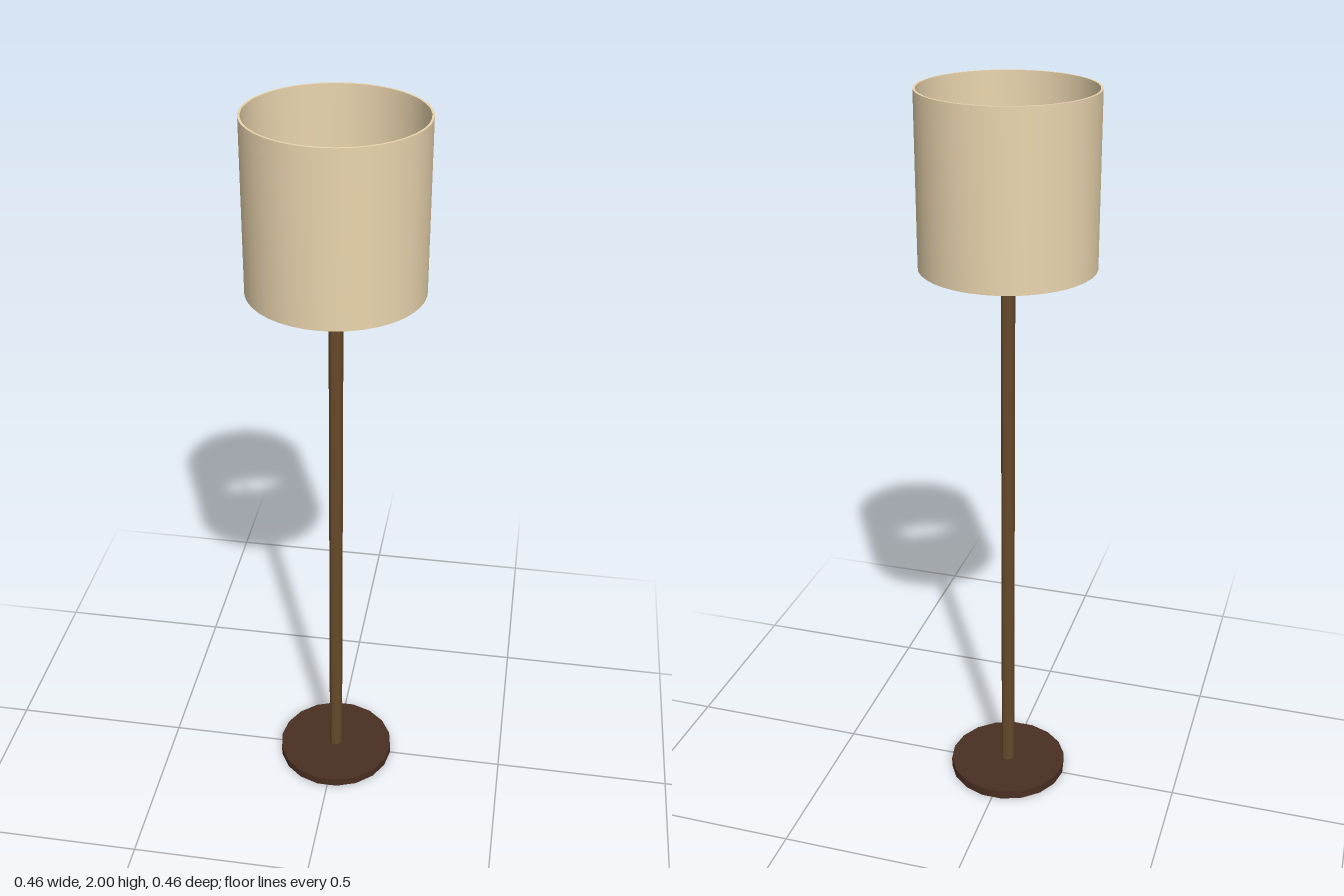
import * as THREE from 'three';
import { toCreasedNormals } from 'three/addons/utils/BufferGeometryUtils.js';

const part = (name, geometry, color, parent) => {
  const mesh = new THREE.Mesh(geometry, new THREE.MeshStandardMaterial({ color }));
  mesh.name = name;
  parent.add(mesh);
  return mesh;
};

// Turned part from [radius, height] pairs, listed bottom to top on the outside
const turned = (profile, sides, crease = 0.6) =>
  toCreasedNormals(
    new THREE.LatheGeometry(profile.map(([r, y]) => new THREE.Vector2(r, y)), sides, Math.PI / 2),
    crease
  );

// Flat bar along +x that narrows and rises slightly towards its tip
function armGeometry() {
  const inner = 0.015, outer = 0.22;
  const geometry = new THREE.BoxGeometry(1, 1, 1);
  const p = geometry.attributes.position;
  for (let i = 0; i < p.count; i++) {
    const t = p.getX(i) + 0.5;
    const width = THREE.MathUtils.lerp(0.029, 0.009, t);
    const thickness = THREE.MathUtils.lerp(0.012, 0.007, t);
    const middle = THREE.MathUtils.lerp(1.547, 1.556, t);
    p.setXYZ(i, THREE.MathUtils.lerp(inner, outer, t), middle + p.getY(i) * thickness, p.getZ(i) * width);
  }
  geometry.computeVertexNormals();
  return geometry;
}

export function createModel() {
  const lamp = new THREE.Group();
  lamp.name = 'floorLamp';

  // Round foot and pole
  part('base', turned([[0, 0], [0.168, 0], [0.168, 0.025], [0, 0.025]], 18), 0x4a2f22, lamp);
  part('pole', turned([[0, 0.02], [0.019, 0.02], [0.019, 1.51], [0, 1.51]], 12), 0x664a2a, lamp);

  // Socket at the top of the pole
  part('socket', turned([
    [0, 1.497], [0.026, 1.497], [0.043, 1.52], [0.043, 1.53], [0.022, 1.543], [0.022, 1.565], [0, 1.565]
  ], 10), 0x777a7c, lamp);

  // Three arms carrying the shade
  const arms = new THREE.Group();
  arms.name = 'shadeArms';
  lamp.add(arms);
  for (let i = 0; i < 3; i++) {
    part('shadeArm', armGeometry(), 0x777a7c, arms).rotation.y = (i * Math.PI * 2) / 3;
  }

  // Pear-shaped bulb: a neck flowing into a ball
  const bulb = [[0, 1.56], [0.018, 1.56], [0.02, 1.575], [0.027, 1.598]];
  for (let i = 0; i <= 10; i++) {
    const a = THREE.MathUtils.lerp(-0.6, Math.PI / 2, i / 10);
    bulb.push([Math.max(0, 0.04 * Math.cos(a)), 1.635 + 0.04 * Math.sin(a)]);
  }
  part('bulb', turned(bulb, 24, 1), 0xf3dca4, lamp);

  // Open drum shade with a thin wall
  part('shade', turned([
    [0.228, 1.555], [0.228, 2], [0.222, 2], [0.222, 1.555], [0.228, 1.555]
  ], 40), 0xead5ae, lamp);

  return lamp;
}
